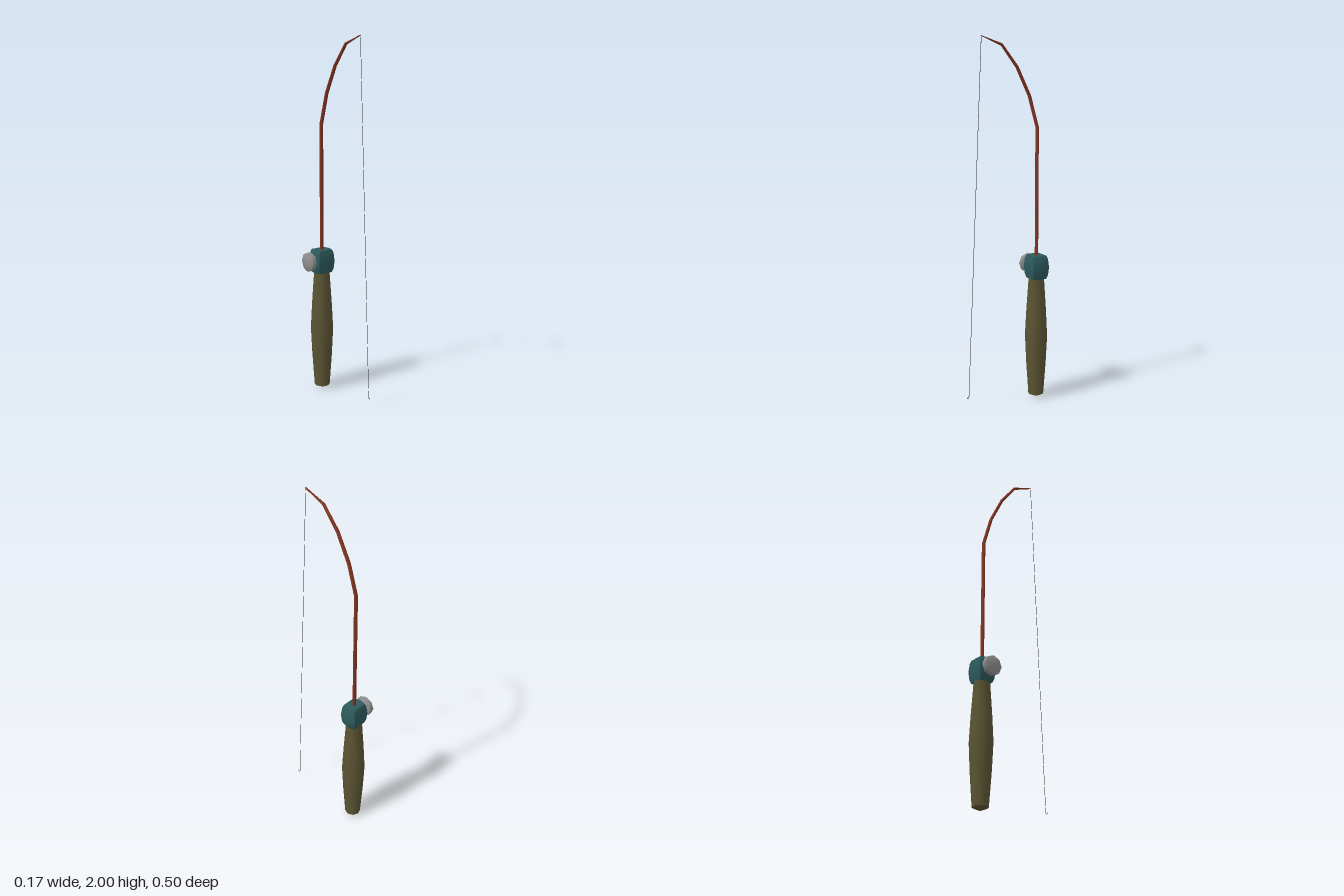
import * as THREE from 'three';
import { toCreasedNormals } from 'three/addons/utils/BufferGeometryUtils.js';

const CX = 0.022, CZ = -0.184; // axis of the grip

const mat = (name, color) => {
  const m = new THREE.MeshStandardMaterial({ color });
  m.name = name;
  return m;
};

// Unit cross-section with n sides, as [x, forward] pairs
const ngon = (n) => Array.from({ length: n }, (_, j) => {
  const t = (j / n) * Math.PI * 2;
  return [Math.sin(t), Math.cos(t)];
});

// Skin over sections [y, z, halfWidth, halfDepth] following a path in the yz plane
function loft(sections, shape, crease) {
  const n = shape.length, pos = [], idx = [];
  const last = sections.length - 1;
  sections.forEach(([y, z, w, d], i) => {
    const a = sections[Math.max(i - 1, 0)], b = sections[Math.min(i + 1, last)];
    const len = Math.hypot(b[0] - a[0], b[1] - a[1]) || 1;
    const ty = (b[0] - a[0]) / len, tz = (b[1] - a[1]) / len;
    for (const [sx, sd] of shape) pos.push(CX + sx * w, y - tz * sd * d, z + ty * sd * d);
  });
  for (let i = 0; i < last; i++) {
    for (let j = 0; j < n; j++) {
      const k = (j + 1) % n, p = i * n, q = p + n;
      idx.push(p + j, p + k, q + k, p + j, q + k, q + j);
    }
  }
  // flat end caps
  for (let j = 1; j < n - 1; j++) {
    idx.push(0, j + 1, j, last * n, last * n + j, last * n + j + 1);
  }
  const g = new THREE.BufferGeometry();
  g.setAttribute('position', new THREE.Float32BufferAttribute(pos, 3));
  g.setIndex(idx);
  return toCreasedNormals(g, crease);
}

export function createModel() {
  const group = new THREE.Group();
  group.name = 'fishingRod';
  const olive = mat('olive grip', 0x5c5533);
  const teal = mat('teal collar', 0x2d5a5c);
  const red = mat('red brown rod', 0x853522);
  const grey = mat('grey metal', 0x8e8e8e);
  const dark = mat('dark line', 0x3a3a3a);

  const add = (name, geometry, material) => {
    const m = new THREE.Mesh(geometry, material);
    m.name = name;
    group.add(m);
    return m;
  };

  // Grip: eight-sided, swelling in the middle
  const gripProfile = [[0, 0], [0.043, 0.018], [0.056, 0.2], [0.0635, 0.355], [0.056, 0.5], [0.043, 0.69]]
    .map(([r, y]) => new THREE.Vector2(r, y));
  add('grip', toCreasedNormals(new THREE.LatheGeometry(gripProfile, 8), 0.9), olive)
    .position.set(CX, 0, CZ);

  // Collar: barrel block with pointed sides
  const block = [[0, 1], [0.82, 1], [1, 0], [0.82, -1], [0, -1], [-0.82, -1], [-1, 0], [-0.82, 1]];
  add('collar', loft([
    [0.68, CZ, 0.05, 0.039], [0.7, CZ, 0.059, 0.045], [0.745, CZ, 0.063, 0.05],
    [0.79, CZ, 0.059, 0.045], [0.81, CZ, 0.05, 0.039],
  ], block, 0.9), teal);

  // Rod: straight, then bending forward to a fine tip
  add('rod', loft([
    [0.79, CZ, 0.011, 0.009], [1.51, CZ, 0.011, 0.009], [1.68, -0.135, 0.0105, 0.009],
    [1.832, -0.06, 0.0095, 0.009], [1.95, 0.032, 0.008, 0.0075], [1.998, 0.153, 0.005, 0.0015],
  ], ngon(8), 0.9), red);

  // Reel: bevelled disc on a short axle, with a small crank knob
  const reelProfile = [[0, -0.022], [0.034, -0.022], [0.054, -0.012], [0.054, 0.012], [0.034, 0.022], [0, 0.022]]
    .map(([r, y]) => new THREE.Vector2(r, y));
  const reel = new THREE.Group();
  reel.name = 'reel';
  reel.position.set(-0.064, 0.75, CZ);
  reel.rotation.z = Math.PI / 2;
  group.add(reel);
  const reelPart = (name, geometry, x, y, z) => {
    const m = add(name, geometry, grey);
    m.position.set(x, y, z);
    reel.add(m);
  };
  reelPart('reelDisc', toCreasedNormals(new THREE.LatheGeometry(reelProfile, 8), 0.9), 0, 0, 0);
  reelPart('reelAxle', new THREE.CylinderGeometry(0.009, 0.009, 0.04, 8), 0, -0.025, 0);
  reelPart('crankKnob', new THREE.CylinderGeometry(0.004, 0.004, 0.012, 6), -0.028, 0.019, 0.014);

  // Line hanging from the tip
  add('line', loft([[0.07, 0.236, 0.0015, 0.0015], [1.998, 0.152, 0.0015, 0.0015]], ngon(4), 0.5), dark);

  // Hook: small upturned curl
  const hookCurve = new THREE.CatmullRomCurve3([[0.08, 0.2355], [0.063, 0.237], [0.058, 0.241], [0.06, 0.245], [0.067, 0.247]]
    .map(([y, z]) => new THREE.Vector3(CX, y, z)));
  add('hook', new THREE.TubeGeometry(hookCurve, 10, 0.0014, 5), dark);

  return group;
}
